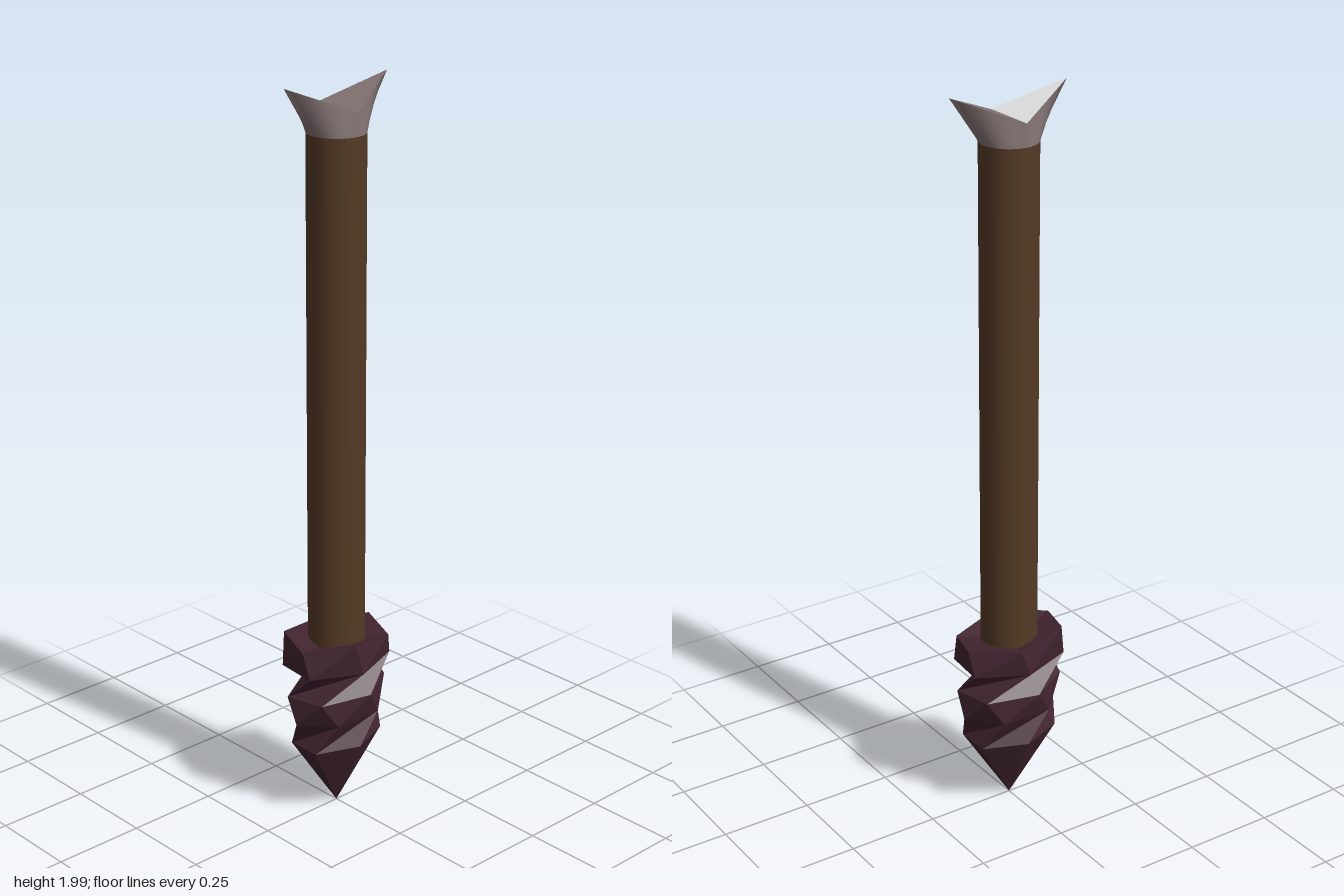
import * as THREE from 'three';

function material(name, color) {
  const m = new THREE.MeshStandardMaterial({ color });
  m.name = name;
  return m;
}

function mesh(name, geometry, mat) {
  const m = new THREE.Mesh(geometry, mat);
  m.name = name;
  return m;
}

function buildGeometry(points, index) {
  const g = new THREE.BufferGeometry();
  g.setAttribute('position', new THREE.Float32BufferAttribute(points.flat(), 3));
  if (index) g.setIndex(index);
  g.computeVertexNormals();
  return g;
}

// Joins closed rings from bottom to top with flat triangles
function loftFlat(rings) {
  const tris = [];
  for (let r = 0; r < rings.length - 1; r++) {
    const lo = rings[r], hi = rings[r + 1], n = lo.length;
    for (let i = 0; i < n; i++) {
      const j = (i + 1) % n;
      tris.push(lo[i], hi[i], lo[j], lo[j], hi[i], hi[j]);
    }
  }
  return buildGeometry(tris);
}

// Twisted six-sided ring, stretched along z
function hexRing(y, rx, rz, twist, lift = [0, 0, 0, 0, 0, 0]) {
  return lift.map((dy, i) => {
    const t = THREE.MathUtils.degToRad(twist + i * 60);
    return [rx * Math.cos(t), y + dy, rz * Math.sin(t)];
  });
}

export function createModel() {
  const wood = material('brown wood', 0x543a24);
  const stone = material('dark plum stone', 0x41242f);
  const metal = material('warm grey metal', 0x857575);
  const pale = material('pale metal', 0xe8e8e8);

  const group = new THREE.Group();
  group.name = 'spear';

  // Round shaft
  const shaftGeo = new THREE.CylinderGeometry(0.076, 0.076, 1.43, 32);
  shaftGeo.translate(0, 1.155, 0);
  group.add(mesh('shaft', shaftGeo, wood));

  // Chipped stone point at the lower end
  const head = loftFlat([
    hexRing(0.01, 0, 0, 60),
    hexRing(0.21, 0.095, 0.138, 60),
    hexRing(0.29, 0.1, 0.145, 30),
    hexRing(0.36, 0.108, 0.152, 50),
    hexRing(0.44, 0.12, 0.16, 4),
    hexRing(0.515, 0.116, 0.159, 13, [0.01, 0, 0.015, -0.005, 0, -0.015]),
    hexRing(0.49, 0, 0, 13),
  ]);
  group.add(mesh('stonePoint', head, stone));

  // Forked collar: a round base flaring to a diamond rim with two raised tips
  const rimX = 0.077, rimZ = 0.171, baseY = 1.87, valleyY = 1.93, tipY = 2;
  const steps = 8;
  for (let q = 0; q < 4; q++) {
    const points = [], index = [];
    for (let i = 0; i <= steps; i++) {
      const u = i / steps;
      const a = (q + u) * Math.PI / 2;
      const k = q % 2 ? 1 - u : u;
      const sx = q === 0 || q === 3 ? 1 : -1;
      const sz = q < 2 ? 1 : -1;
      points.push([0.076 * Math.cos(a), baseY, 0.076 * Math.sin(a)]);
      points.push([sx * rimX * (1 - k), valleyY + (tipY - valleyY) * k, sz * rimZ * k]);
      if (i < steps) {
        const b = i * 2;
        index.push(b, b + 1, b + 2, b + 2, b + 1, b + 3);
      }
    }
    group.add(mesh('collarSide', buildGeometry(points, index), metal));
  }

  // Sloping top faces of the fork, one pale and one grey
  const slope = buildGeometry([[-rimX, valleyY, 0], [0, tipY, rimZ], [rimX, valleyY, 0]]);
  group.add(mesh('frontForkFace', slope, pale));
  const back = mesh('backForkFace', slope, metal);
  back.rotation.y = Math.PI;
  group.add(back);

  return group;
}
